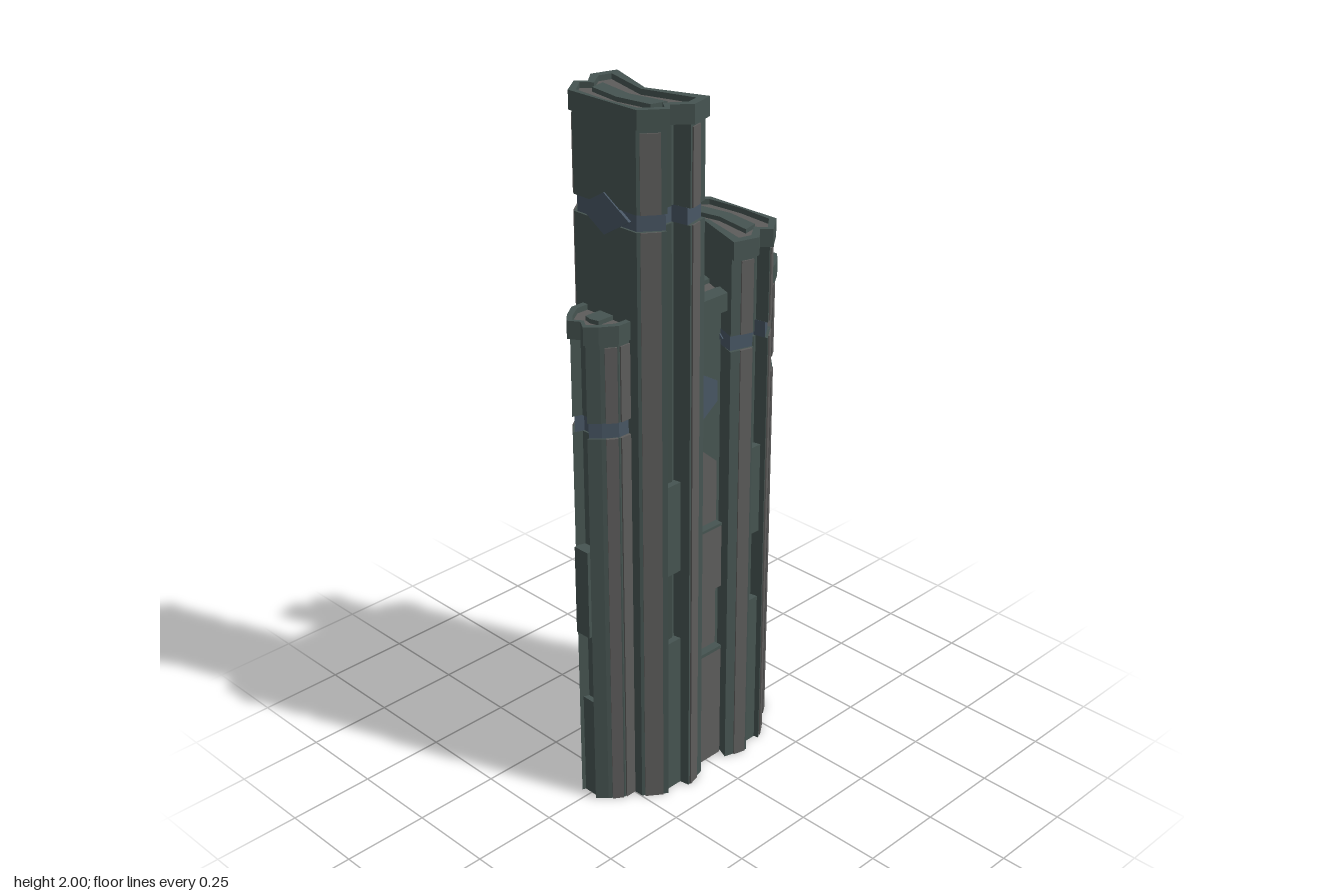
import * as THREE from 'three';
import { ConvexGeometry } from 'three/addons/geometries/ConvexGeometry.js';

const material = (color) => new THREE.MeshStandardMaterial({ color, flatShading: true });
const green = material(0x465451);
const darkGreen = material(0x3c4946);
const grey = material(0x5d5c5b);
const blue = material(0x485664);

// Complete a half outline (z >= 0) by mirroring it across z = 0.
const mirrorZ = (half) => [
  ...half,
  ...half.filter(([, z]) => z > 0).reverse().map(([x, z]) => [x, -z]),
];
const shrink = (pts, cx, sx, sz) => pts.map(([x, z]) => [cx + (x - cx) * sx, z * sz]);

function addMesh(group, name, geo, mat) {
  const mesh = new THREE.Mesh(geo, mat);
  mesh.name = name;
  group.add(mesh);
}

// Vertical prism over an outline of [x, z] points, optionally hollow; side mirrors it in x.
function prism(group, name, pts, y0, y1, mat, side = 1, hole = null) {
  const vec = (list) => {
    const out = list.map(([x, z]) => new THREE.Vector2(x * side, -z));
    return THREE.ShapeUtils.isClockWise(out) ? out.reverse() : out;
  };
  const shape = new THREE.Shape(vec(pts));
  if (hole) shape.holes.push(new THREE.Path(vec(hole).reverse()));
  const geo = new THREE.ExtrudeGeometry(shape, { depth: y1 - y0, bevelEnabled: false });
  geo.rotateX(-Math.PI / 2).translate(0, y0, 0);
  addMesh(group, name, geo, mat);
}

// Thin cladding on the wall from p to q, covering the fraction t0..t1, on both z sides.
function cladding(group, name, p, q, t0, t1, y0, y1, mat, side) {
  const dx = q[0] - p[0], dz = q[1] - p[1], len = Math.hypot(dx, dz);
  const sign = dx > 0 ? -1 : 1;
  const n = [(dz / len) * sign * 0.004, (-dx / len) * sign * 0.004];
  const at = (t, k) => [p[0] + dx * t + n[0] * k, p[1] + dz * t + n[1] * k];
  const quad = [at(t0, -1), at(t1, -1), at(t1, 1), at(t0, 1)];
  prism(group, name, quad, y0, y1, mat, side);
  prism(group, name, quad.map(([x, z]) => [x, -z]), y0, y1, mat, side);
}

// Convex slab: a flat polygon thickened by +-(dx, dz).
function slab(group, name, pts, dx, dz, mat) {
  const at = (k) => pts.map(([x, y, z]) => new THREE.Vector3(x + dx * k, y, z + dz * k));
  addMesh(group, name, new ConvexGeometry([...at(-1), ...at(1)]), mat);
}

// Shaft with a recessed band, a rimmed cap, and a ribbed roof.
function stack(group, name, cap, shaft, band, roof, rib, bandY, top, side) {
  prism(group, name + 'LowerShaft', shaft, 0, bandY, green, side);
  prism(group, name + 'Band', band, bandY, bandY + 0.045, blue, side);
  prism(group, name + 'UpperShaft', shaft, bandY + 0.045, top - 0.05, green, side);
  prism(group, name + 'CapRim', cap, top - 0.05, top, green, side, roof);
  prism(group, name + 'Roof', roof, top - 0.05, top - 0.015, grey, side);
  prism(group, name + 'RoofRib', rib, top - 0.015, top - 0.003, green, side);
}

// Large tower with a deep groove in front and back and a creased inner face.
function tower(side, top, bandY) {
  const g = new THREE.Group();
  g.name = side < 0 ? 'tallTower' : 'mediumTower';
  const cap = mirrorZ([[0.252, 0.12], [0.188, 0.168], [0.164, 0.143], [0.119, 0.182], [0.046, 0.162], [0.107, 0]]);
  const sh = [[0.248, 0.112], [0.187, 0.157], [0.18, 0.12], [0.129, 0.12], [0.12, 0.17], [0.05, 0.151], [0.109, 0]];
  const roof = mirrorZ([[0.244, 0], [0.236, 0.108], [0.187, 0.148], [0.165, 0.12], [0.115, 0.157], [0.079, 0.148], [0.122, 0]]);
  const rib = mirrorZ([[0.203, 0], [0.188, 0.102], [0.142, 0.113], [0.162, 0]]);
  // The band dips in at the corners but stays flush at the inner crease
  const tip = [0.066, 0.11];
  const band = mirrorZ([...shrink(sh.slice(0, 6), 0.15, 0.94, 0.95), tip, sh[6]]);
  stack(g, 'tower', cap, mirrorZ(sh), band, roof, rib, bandY, top, side);

  // Grey facade strips and groove floors below and above the band
  for (const [y0, y1] of [[0, bandY], [bandY + 0.045, top - 0.06]]) {
    cladding(g, 'outerStrip', sh[0], sh[1], 0.12, 0.8, y0, y1, grey, side);
    cladding(g, 'innerStrip', sh[4], sh[5], 0.1, 0.6, y0, y1, grey, side);
    cladding(g, 'grooveFloor', sh[2], sh[3], 0.2, 0.8, y0, y1, darkGreen, side);
  }
  // Plates partly filling the groove
  for (const k of [1, -1])
    for (const [y0, y1] of [[0, 0.485], [0.7, 0.97]]) {
      const plate = [[0.184, 0.11], [0.184, 0.142], [0.125, 0.142], [0.125, 0.11]].map(([x, z]) => [x, z * k]);
      prism(g, 'groovePlate', plate, y0, y1, green, side);
    }

  // Diamonds on the creased inner face and the flat outer face
  const ym = bandY + 0.0225;
  for (const [x, tipX, tipZ] of [[0.109, ...tip], [0.248, 0.248, 0.09]])
    for (const k of [1, -1])
      slab(g, 'diamondHalf', [[side * x, ym - 0.055, 0], [side * tipX, ym, tipZ * k], [side * x, ym + 0.055, 0]], 0.004, 0, blue);
  return g;
}

// Low outer wing with a notched end.
function wing(side) {
  const g = new THREE.Group();
  g.name = side < 0 ? 'rightWing' : 'leftWing';
  const half = [[0.2, 0.087], [0.288, 0.087], [0.33, 0.058], [0.357, 0.03], [0.338, 0]];
  const sh = [...shrink(half.slice(0, 4), 0.24, 0.925, 0.93), [0.322, 0.018], [0.322, 0]];
  const roof = mirrorZ([[0.21, 0.07], [0.284, 0.07], [0.324, 0.043], [0.342, 0.025], [0.326, 0]]);
  const rib = mirrorZ([[0.21, 0.024], [0.298, 0.024], [0.304, 0]]);
  const band = mirrorZ(shrink(sh, 0.24, 0.94, 0.94));
  stack(g, 'wing', mirrorZ(half), mirrorZ(sh), band, roof, rib, 1.135, 1.45, side);
  for (const [y0, y1] of [[0, 1.135], [1.18, 1.39]]) {
    cladding(g, 'flankStrip', sh[0], sh[1], 0.3, 0.95, y0, y1, grey, side);
    cladding(g, 'cornerStrip', sh[1], sh[2], 0.08, 0.75, y0, y1, grey, side);
  }
  // Plates set in the end notch
  const plate = (x) => [[0.3, 0.025], [x, 0.025], [x, -0.025], [0.3, -0.025]];
  prism(g, 'endPlate', plate(0.355), 0.535, 0.8, green, side);
  prism(g, 'basePlate', plate(0.338), 0, 0.315, green, side);
  return g;
}

// Central block linking the two towers.
function core() {
  const g = new THREE.Group();
  g.name = 'centralBlock';
  const rect = (w, z0, z1) => [[-w, z0], [w, z0], [w, z1], [-w, z1]];
  prism(g, 'coreBody', rect(0.12, -0.094, 0.094), 0, 1.41, green);
  prism(g, 'coreRoof', rect(0.12, -0.075, 0.075), 1.405, 1.435, grey);
  prism(g, 'coreRoofRib', rect(0.12, -0.025, 0.025), 1.435, 1.447, green);
  // Cap bars and facades on front and back: stepped panels, pointed wall and hexagonal accent
  for (const k of [1, -1]) {
    prism(g, 'coreCapBar', rect(0.088, 0.085 * k, 0.13 * k), 1.4, 1.45, green);
    prism(g, 'coreCapStep', rect(0.12, 0.07 * k, 0.09 * k), 1.4, 1.442, green);
    const panel = (name, y0, y1, z, mat) => prism(g, name, rect(0.057, 0.08 * k, z * k), y0, y1, mat);
    panel('basePanel', 0, 0.36, 0.122, grey);
    panel('baseLedge', 0.36, 0.37, 0.124, green);
    panel('middlePanel', 0.565, 0.76, 0.12, grey);
    panel('middleLedge', 0.76, 0.768, 0.122, green);
    const z = 0.094 * k;
    slab(g, 'pointedWall', [[-0.057, 0, z], [0.057, 0, z], [0.057, 0.95, z], [0, 1.0, z], [-0.057, 0.95, z]], 0, 0.005, grey);
    slab(g, 'accent', [[-0.057, 1.13, z], [0, 1.09, z], [0.057, 1.13, z], [0.057, 1.19, z], [0, 1.225, z], [-0.057, 1.19, z]], 0, 0.005, blue);
  }
  return g;
}

export function createModel() {
  const model = new THREE.Group();
  model.name = 'towerBlock';
  model.add(tower(-1, 2, 1.69), tower(1, 1.6, 1.29), wing(-1), wing(1), core());
  return model;
}
